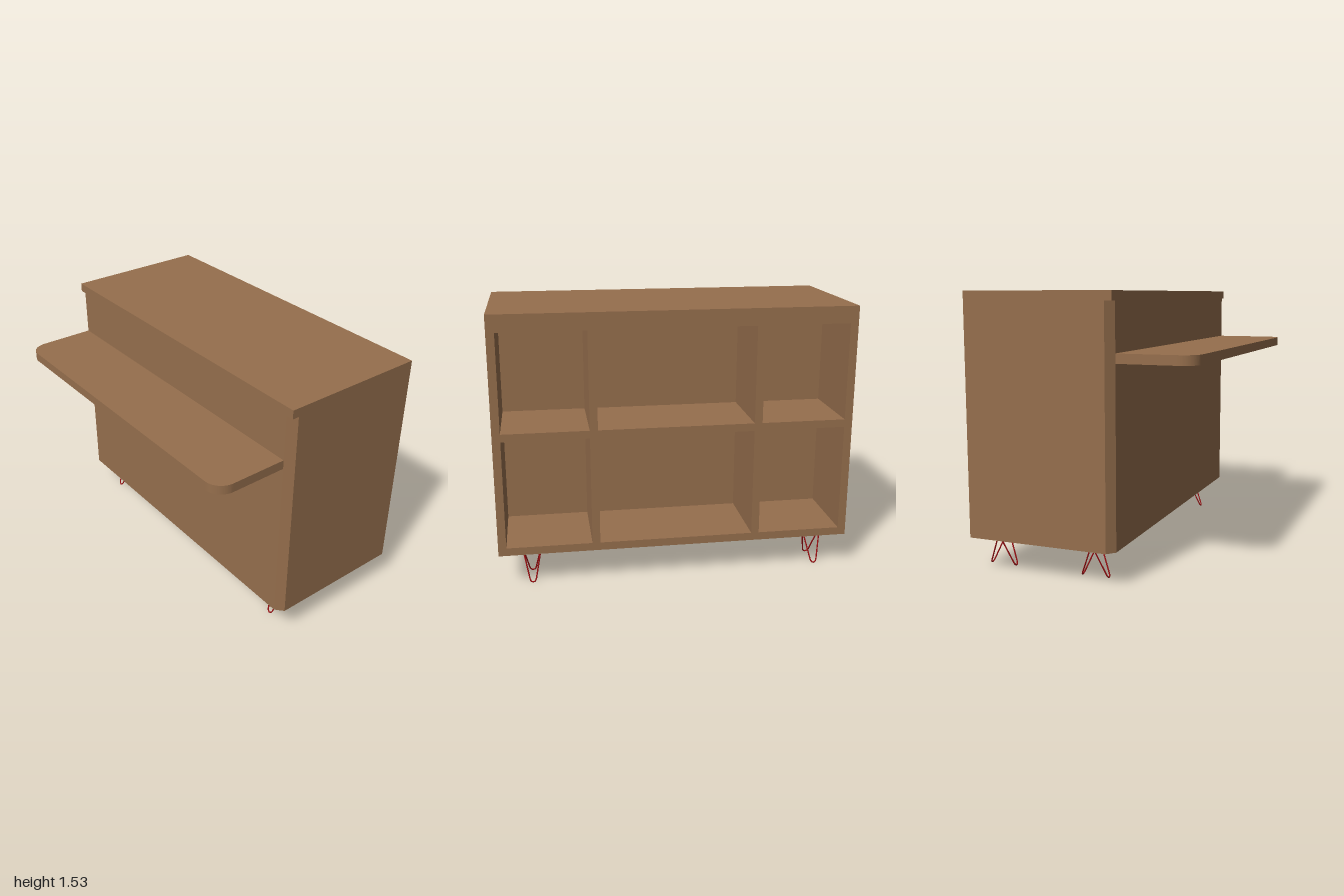
import * as THREE from 'three';

export function createModel() {
  const model = new THREE.Group();
  const wood = new THREE.MeshStandardMaterial({ color: 0x966f4d });
  wood.name = 'brown wood';
  const red = new THREE.MeshStandardMaterial({ color: 0x9a0f12 });
  red.name = 'red metal';

  const add = (name, geometry, material = wood, parent = model) => {
    const mesh = new THREE.Mesh(geometry, material);
    mesh.name = name;
    parent.add(mesh);
    return mesh;
  };

  // Box given by its limits on each axis
  const panel = (name, x0, x1, y0, y1, z0, z1) =>
    add(name, new THREE.BoxGeometry(x1 - x0, y1 - y0, z1 - z0))
      .position.set((x0 + x1) / 2, (y0 + y1) / 2, (z0 + z1) / 2);

  // Plan outline (x, -z) raised from y0 to y1
  const raise = (name, shape, y0, y1) => {
    const g = new THREE.ExtrudeGeometry(shape, { depth: y1 - y0, bevelEnabled: false, curveSegments: 10 });
    g.rotateX(-Math.PI / 2);
    g.translate(0, y0, 0);
    return add(name, g);
  };

  const base = 0.19, under = 1.485, back = -0.64, front = 0.215, inner = 0.955, deep = -0.19;

  // Worktop and front panel
  panel('worktop', -1, 1, under, 1.535, back, front);
  panel('frontPanel', -inner, inner, base, under, front - 0.025, front);

  // Side panels with bevelled front corners
  for (const s of [-1, 1]) {
    const plan = new THREE.Shape([[inner, -back], [1, -back], [1, -0.175], [inner, -front]]
      .map(([x, y]) => new THREE.Vector2(s * x, y)));
    raise(s > 0 ? 'leftSide' : 'rightSide', plan, base, under);
  }

  // Open cubbies at the rear, each bay closed by a panel towards the front
  panel('cubbyBack', -inner, inner, base + 0.045, under, deep, deep + 0.01);
  panel('upperRail', -inner, inner, 1.44, under, back, deep);
  panel('lowerRail', -inner, inner, base, 0.235, back, back + 0.02);
  for (const s of [-1, 1]) {
    panel('divider', s * 0.457 - 0.022, s * 0.457 + 0.022, base, 1.44, back, deep);
  }
  for (const [x0, x1] of [[-inner, -0.479], [-0.435, 0.435], [0.479, inner]]) {
    panel('middleShelf', x0, x1, 0.85, 0.894, back, deep);
    panel('cubbyFloor', x0, x1, 0.226, 0.235, back + 0.02, deep);
  }

  // Counter shelf with rounded front corners
  const r = 0.1, edge = -0.64;
  const counter = new THREE.Shape();
  counter.moveTo(-inner, -front);
  counter.lineTo(-inner, edge + r);
  counter.absarc(-inner + r, edge + r, r, Math.PI, Math.PI * 1.5, false);
  counter.lineTo(inner - r, edge);
  counter.absarc(inner - r, edge + r, r, Math.PI * 1.5, Math.PI * 2, false);
  counter.lineTo(inner, -front);
  raise('counterShelf', counter, 1.17, 1.222);

  // Hairpin legs: two splayed loops of rod meeting at the top
  const loop = (splay) => {
    const p = (x, y) => new THREE.Vector3(x, y, splay * (base - y) / base);
    const path = new THREE.CurvePath();
    path.add(new THREE.LineCurve3(p(-0.054, base), p(-0.018, 0.022)));
    path.add(new THREE.CubicBezierCurve3(p(-0.018, 0.022), p(-0.012, -0.002), p(0.012, -0.002), p(0.018, 0.022)));
    path.add(new THREE.LineCurve3(p(0.018, 0.022), p(0.054, base)));
    return new THREE.TubeGeometry(path, 48, 0.004, 8, false);
  };
  for (const x of [-0.83, 0.817]) {
    for (const z of [0.04, -0.53]) {
      const leg = new THREE.Group();
      leg.name = 'hairpinLeg';
      leg.position.set(x, 0, z);
      for (const splay of [-0.08, 0.08]) add('legLoop', loop(splay), red, leg);
      model.add(leg);
    }
  }

  return model;
}
